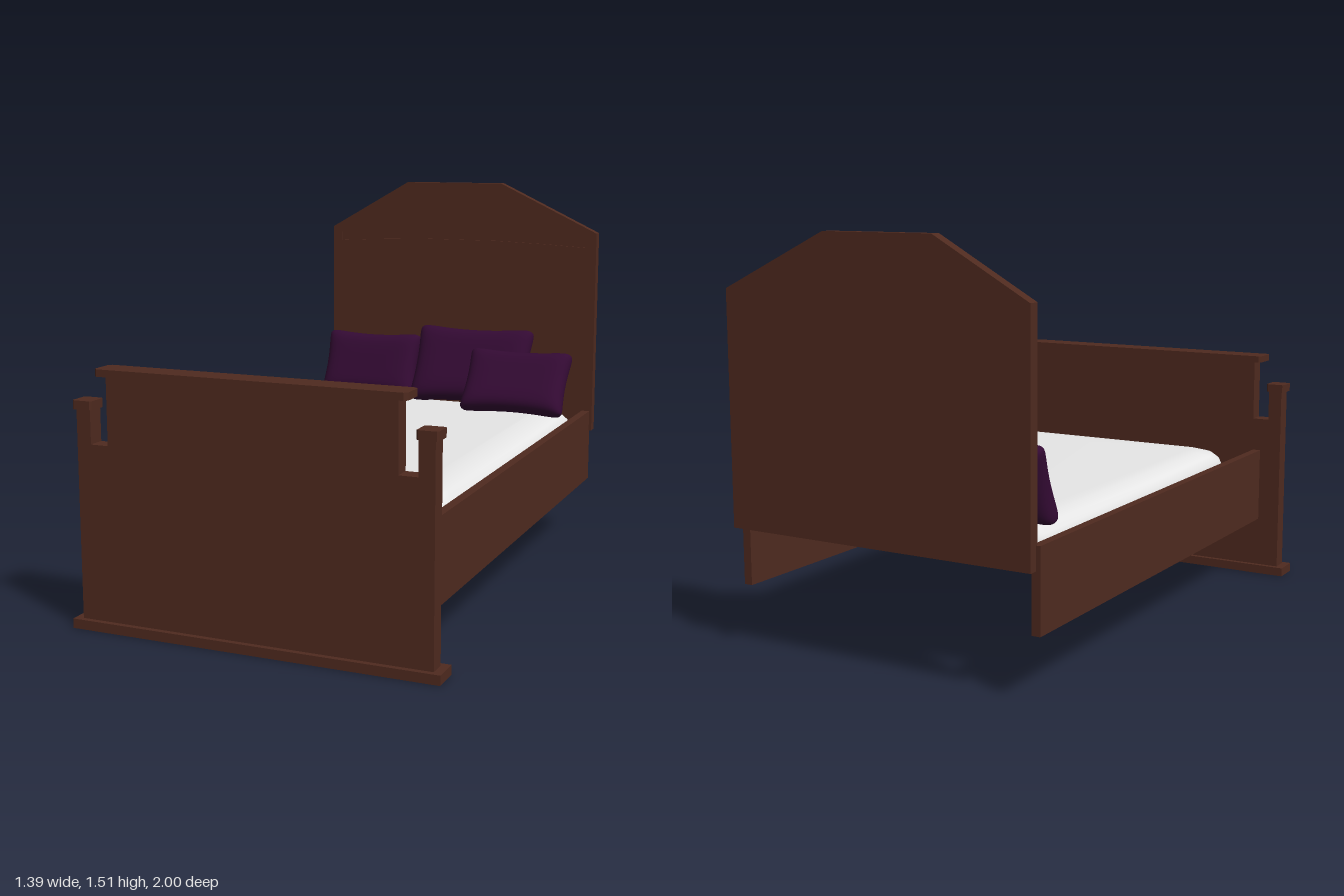
import * as THREE from 'three';
import { mergeGeometries, mergeVertices } from 'three/addons/utils/BufferGeometryUtils.js';

const material = (name, color) => {
  const m = new THREE.MeshStandardMaterial({ color });
  m.name = name;
  return m;
};

const shapeFrom = (pts) => new THREE.Shape(pts.map(([x, y]) => new THREE.Vector2(x, y)));

// Flat board cut from a shape, spanning z0..z1
function board(shape, z0, z1) {
  const g = new THREE.ExtrudeGeometry(shape, { depth: z1 - z0, bevelEnabled: false });
  return g.translate(0, 0, z0);
}

// Box given by its limits
function block(x0, x1, y0, y1, z0, z1) {
  return new THREE.BoxGeometry(x1 - x0, y1 - y0, z1 - z0)
    .translate((x0 + x1) / 2, (y0 + y1) / 2, (z0 + z1) / 2);
}

// Slab with its four upright corners cut off by c
function cap(x0, x1, y0, y1, z0, z1, c) {
  const plan = shapeFrom([[x0 + c, -z1], [x1 - c, -z1], [x1, c - z1], [x1, -z0 - c],
    [x1 - c, -z0], [x0 + c, -z0], [x0, -z0 - c], [x0, c - z1]]);
  return board(plan, y0, y1).rotateX(-Math.PI / 2);
}

// Cushion: two bulging sheets with pinched sides, welded at the rim
function pillowGeometry(w, h, t) {
  const sheet = (sign) => {
    const g = new THREE.PlaneGeometry(2, 2, 32, 28);
    const p = g.attributes.position;
    for (let i = 0; i < p.count; i++) {
      const u = Math.sin(p.getX(i) * Math.PI / 2);
      const v = Math.sin(p.getY(i) * Math.PI / 2);
      const corner = (u * v) ** 10;
      const x = u * (1 - 0.06 * (1 - v * v) - 0.07 * corner) * w / 2;
      const y = v * (1 - 0.12 * (1 - u * u) - 0.1 * corner) * h / 2;
      const bulge = Math.sqrt(Math.max(0, (1 - u ** 8) * (1 - v ** 6)));
      p.setXYZ(i, sign * x, y, sign * bulge * t / 2);
    }
    g.deleteAttribute('uv');
    g.deleteAttribute('normal');
    return g;
  };
  const g = mergeVertices(mergeGeometries([sheet(1), sheet(-1)]), 1e-5);
  g.computeVertexNormals();
  return g;
}

// Mattress: rounded rectangle loops stacked with a soft edge profile
function mattressGeometry(x0, x1, z0, z1) {
  // Inset at the sides and foot, inset at the head, height
  const profile = [[0.07, 0.1, 0.38], [0.03, 0.05, 0.386], [0.006, 0.015, 0.415], [0, 0, 0.46],
    [0.003, 0, 0.495], [0.014, 0.004, 0.525], [0.038, 0.016, 0.546], [0.085, 0.036, 0.56], [0.14, 0.065, 0.565]];
  // Corner centres and radii, going round from the left foot corner
  const corners = [[1, 1, 0.09, 0.13], [-1, 1, 0.12, 0.16], [-1, -1, 0.09, 0.09], [1, -1, 0.09, 0.09]];
  const steps = 8, n = 4 * (steps + 1);
  const pos = [], idx = [];
  for (const [inset, headInset, y] of profile) {
    const shrink = 1 - inset * 4;
    corners.forEach(([sx, sz, a, b], c) => {
      const rx = a * shrink, rz = b * shrink;
      const cx = (sx > 0 ? x1 : x0) - sx * (inset + rx);
      const cz = sz > 0 ? z1 - inset - rz : z0 + headInset + rz;
      for (let s = 0; s <= steps; s++) {
        const t = (c + s / steps) * Math.PI / 2;
        pos.push(cx + rx * Math.cos(t), y, cz + rz * Math.sin(t));
      }
    });
  }
  for (let k = 0; k < profile.length - 1; k++) {
    for (let i = 0; i < n; i++) {
      const j = (i + 1) % n, a = k * n + i, b = k * n + j;
      idx.push(a, a + n, b, b, a + n, b + n);
    }
  }
  // Flat top and underside
  const top = (profile.length - 1) * n;
  for (let i = 1; i < n - 1; i++) {
    idx.push(top, top + i + 1, top + i);
    idx.push(0, i, i + 1);
  }
  const g = new THREE.BufferGeometry();
  g.setAttribute('position', new THREE.Float32BufferAttribute(pos, 3));
  g.setIndex(idx);
  g.computeVertexNormals();
  return g;
}

export function createModel() {
  const wood = material('dark wood', 0x4f2a1f);
  const linen = material('white linen', 0xe6e6e6);
  const fabric = material('purple fabric', 0x330a33);

  const bed = new THREE.Group();
  bed.name = 'bed';
  const add = (name, geometry, mat = wood, parent = bed) => {
    const m = new THREE.Mesh(geometry, mat);
    m.name = name;
    parent.add(m);
    return m;
  };

  // Headboard with a shallow arched groove across its front
  const head = [[-0.558, 0.45], [0.669, 0.45], [0.669, 1.305], [0.241, 1.51], [-0.195, 1.51], [-0.558, 1.305]];
  add('headboard', board(shapeFrom(head), -1, -0.964));
  const face = shapeFrom(head);
  const arch = [[-0.517, 0], [-0.34, 0.01], [-0.12, 0.018], [0.22, 0.018], [0.44, 0.01], [0.623, 0]];
  const groove = [
    ...arch.map(([x, y]) => new THREE.Vector2(x, 1.243 + y)),
    ...arch.map(([x, y]) => new THREE.Vector2(x, 1.282 + y)).reverse(),
  ];
  face.holes.push(new THREE.Path(groove));
  add('headboardFace', board(face, -0.964, -0.956));

  // Footboard with a notch beside each post
  const foot = new THREE.Group();
  foot.name = 'footboard';
  bed.add(foot);
  const outline = [[-0.663, 0.03], [0.662, 0.03], [0.662, 0.8], [0.605, 0.8], [0.605, 0.67], [0.537, 0.67],
    [0.537, 0.92], [-0.54, 0.92], [-0.54, 0.67], [-0.608, 0.67], [-0.608, 0.8], [-0.663, 0.8]];
  add('footPanel', board(shapeFrom(outline), 0.916, 0.98), wood, foot);
  add('footBase', block(-0.694, 0.692, 0, 0.035, 0.896, 1), wood, foot);
  add('footCapRail', cap(-0.576, 0.573, 0.914, 0.94, 0.896, 1, 0.012), wood, foot);
  add('rightPostCap', cap(-0.675, -0.599, 0.791, 0.823, 0.908, 0.988, 0.006), wood, foot);
  add('leftPostCap', cap(0.599, 0.674, 0.791, 0.823, 0.908, 0.988, 0.006), wood, foot);

  // Side rails
  add('rightRail', block(-0.574, -0.542, 0.235, 0.535, -0.966, 0.92));
  add('leftRail', block(0.625, 0.658, 0.235, 0.535, -0.966, 0.92));

  // Mattress
  add('mattress', mattressGeometry(-0.502, 0.625, -0.852, 0.8), linen);

  // Pillows: name, width, height, centre, backward tilt
  const pillows = [
    ['rightPillow', 0.45, 0.305, [-0.318, 0.7, -0.838], 0.375],
    ['middlePillow', 0.535, 0.365, [0.155, 0.722, -0.84], 0.47],
    ['frontPillow', 0.456, 0.305, [0.405, 0.688, -0.692], 0.63],
  ];
  for (const [name, w, h, centre, tilt] of pillows) {
    const p = add(name, pillowGeometry(w, h, 0.11), fabric);
    p.position.set(...centre);
    p.rotation.x = -tilt;
  }
  return bed;
}
